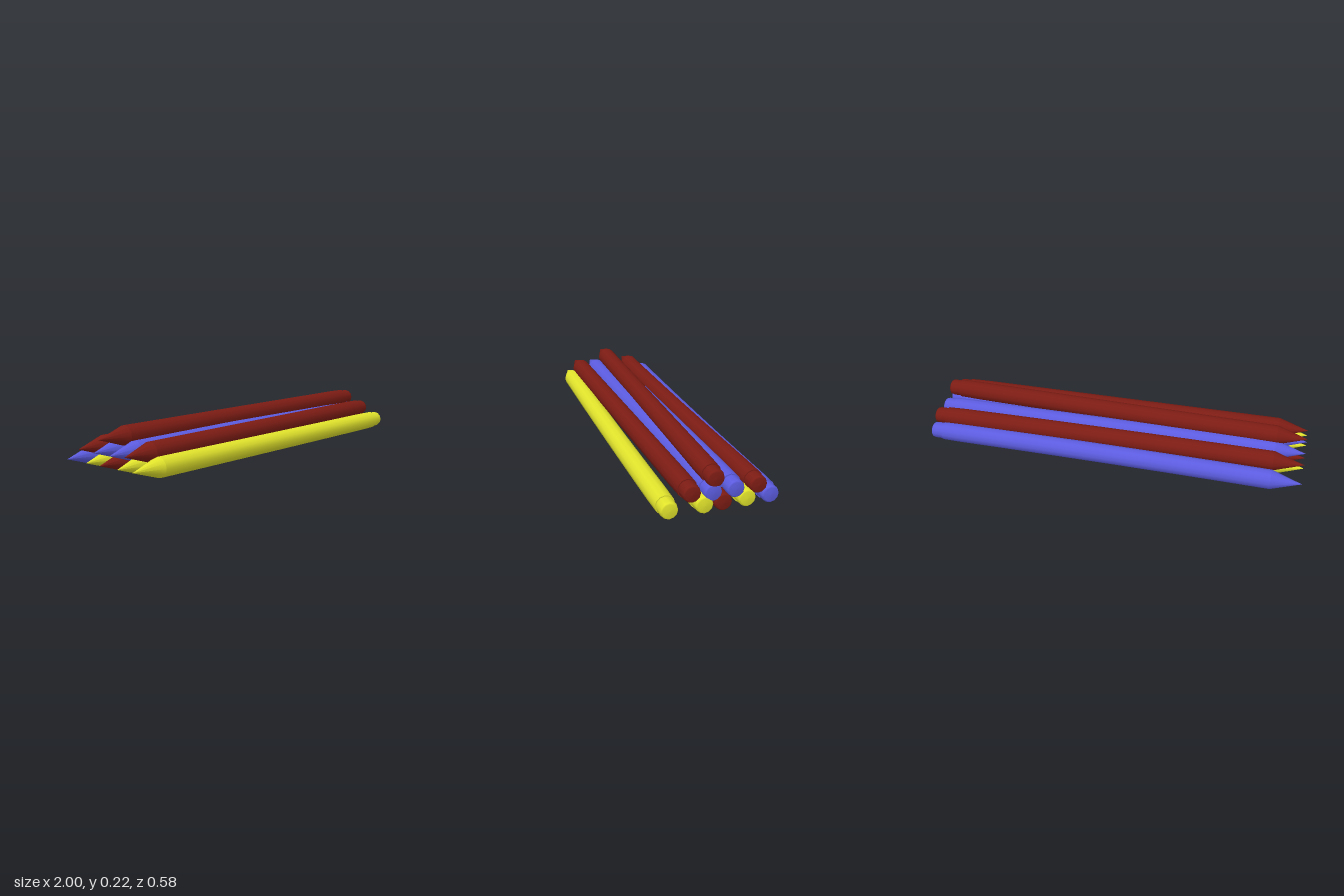
import * as THREE from 'three';

const SIDES = 12;
const R = 0.05;
const RED = 0x7c1c14, BLUE = 0x5c5ce0, YELLOW = 0xe2e42c;

// Profiles along the pencil: [position on x, radius]; each part keeps its own smooth normals
const PARTS = {
  sharpenedTip: [[-1, 0.0005], [-0.845, R]],
  shaft: [[-0.845, R], [-0.6, R], [-0.3, R], [0, R], [0.3, R], [0.6, R], [0.83, R]],
  ferrule: [[0.83, R], [0.935, 0.048]],
  ferruleRim: [[0.935, 0.048], [0.935, 0.043]],
  eraser: [[0.935, 0.043], [0.98, 0.043], [0.993, 0.04], [0.998, 0.034], [1, 0.0001]],
};

// [color, height, z at the tip, z at the eraser, sideways bow at mid-length]
const PENCILS = [
  // bottom row
  [YELLOW, 0.05, 0.21, 0.245, 0.004],
  [YELLOW, 0.05, 0.11, 0.08, 0],
  [RED, 0.05, -0.01, -0.01, 0],
  [YELLOW, 0.05, -0.105, -0.125, 0],
  [BLUE, 0.05, -0.243, -0.24, 0.009],
  // middle row
  [RED, 0.113, 0.16, 0.14, 0],
  [BLUE, 0.105, 0.06, 0.04, 0],
  [BLUE, 0.105, -0.05, -0.068, 0],
  [RED, 0.108, -0.158, -0.178, 0.008],
  // top
  [RED, 0.17, -0.013, 0.03, 0],
];

function createPencil([color, y, zTip, zEnd, bow]) {
  const pencil = new THREE.Group();
  const material = new THREE.MeshStandardMaterial({ color });
  for (const [name, profile] of Object.entries(PARTS)) {
    const points = profile.map(([x, r]) => new THREE.Vector2(r, x));
    const geometry = new THREE.LatheGeometry(points, SIDES);
    geometry.rotateZ(-Math.PI / 2);

    // Slant and bow the pencil sideways along its length
    const pos = geometry.attributes.position;
    for (let i = 0; i < pos.count; i++) {
      const x = pos.getX(i);
      const z = THREE.MathUtils.lerp(zTip, zEnd, (x + 1) / 2) + bow * (1 - x * x);
      pos.setZ(i, pos.getZ(i) + z);
    }

    const mesh = new THREE.Mesh(geometry, material);
    mesh.name = name;
    pencil.add(mesh);
  }
  pencil.position.y = y;
  return pencil;
}

export function createModel() {
  const model = new THREE.Group();
  model.name = 'pencilStack';
  PENCILS.forEach((spec, i) => {
    const pencil = createPencil(spec);
    pencil.name = `pencil${i + 1}`;
    model.add(pencil);
  });
  return model;
}
